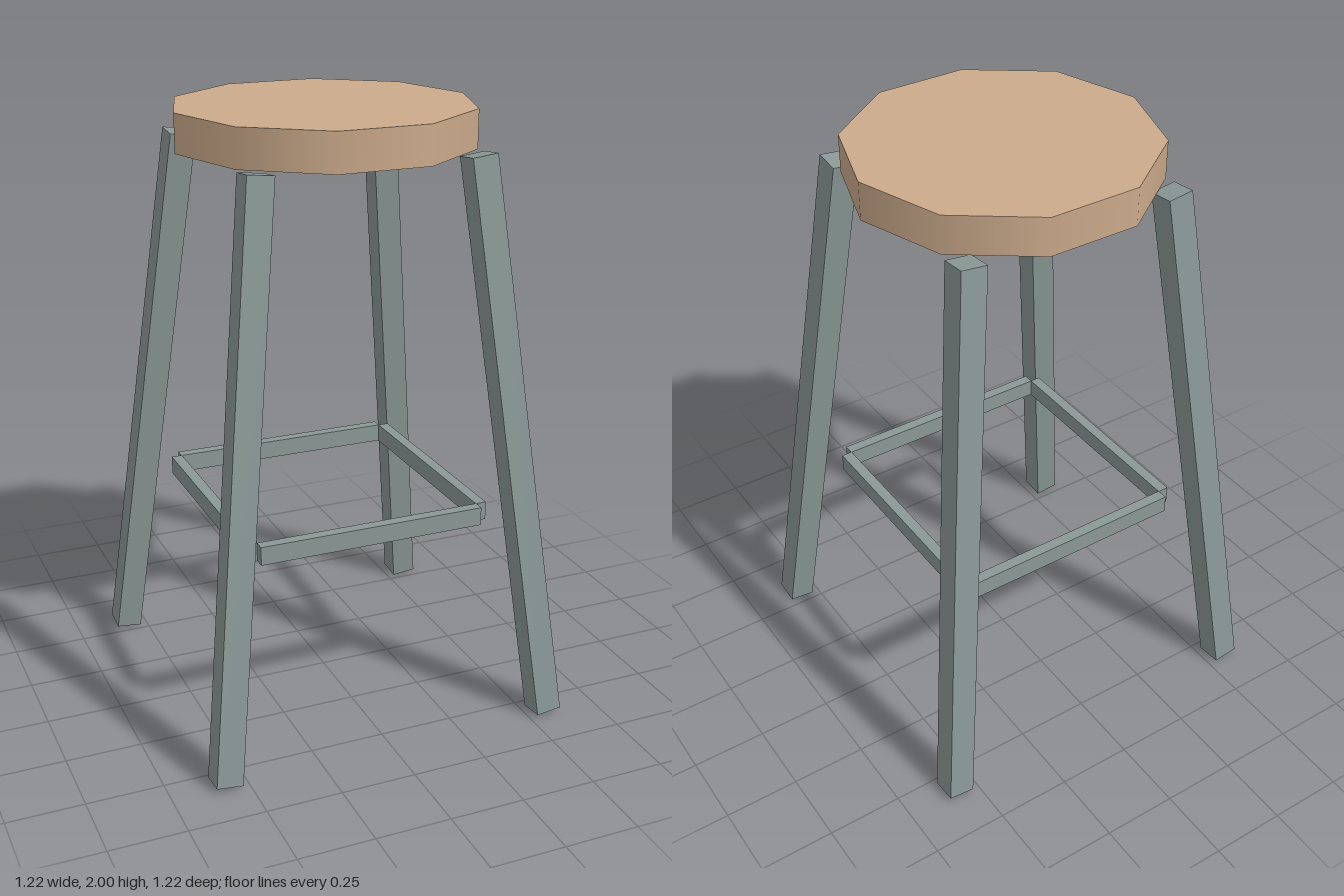
import * as THREE from 'three';

export function createModel() {
  const wood = new THREE.MeshStandardMaterial({ color: 0xcbaa8b });
  wood.name = 'tan wood';
  const metal = new THREE.MeshStandardMaterial({ color: 0x8a9896 });
  metal.name = 'grey green metal';

  const stool = new THREE.Group();
  stool.name = 'stool';
  const add = (name, geometry, material, x, y, z) => {
    const mesh = new THREE.Mesh(geometry, material);
    mesh.name = name;
    mesh.position.set(x, y, z);
    stool.add(mesh);
    return mesh;
  };

  // Ten-sided seat with smooth rim, corners on the x axis
  const seatGeometry = new THREE.CylinderGeometry(0.49, 0.49, 0.125, 10, 1, false, Math.PI / 2);
  add('seat', seatGeometry, wood, 0, 1.9375, 0);

  // Four square legs splayed outward in both directions
  const legGeometry = new THREE.BoxGeometry(0.087, 1.888, 0.087);
  const splay = 0.11;
  for (const sx of [-1, 1]) {
    for (const sz of [-1, 1]) {
      const name = (sz > 0 ? 'front' : 'back') + (sx > 0 ? 'Left' : 'Right') + 'Leg';
      const leg = add(name, legGeometry, metal, sx * 0.465, 0.942, sz * 0.465);
      leg.rotation.set(-sz * splay, 0, sx * splay);
    }
  }

  // Footrest frame: four bars meeting at their inner corners
  const barLength = 0.77, barHeight = 0.062, barWidth = 0.037;
  const crossBar = new THREE.BoxGeometry(barLength, barHeight, barWidth);
  const sideBar = new THREE.BoxGeometry(barWidth, barHeight, barLength);
  for (const s of [-1, 1]) {
    add(s > 0 ? 'frontFootrest' : 'backFootrest', crossBar, metal, 0, 0.688, s * 0.402);
    add(s > 0 ? 'leftFootrest' : 'rightFootrest', sideBar, metal, s * 0.402, 0.688, 0);
  }

  return stool;
}
